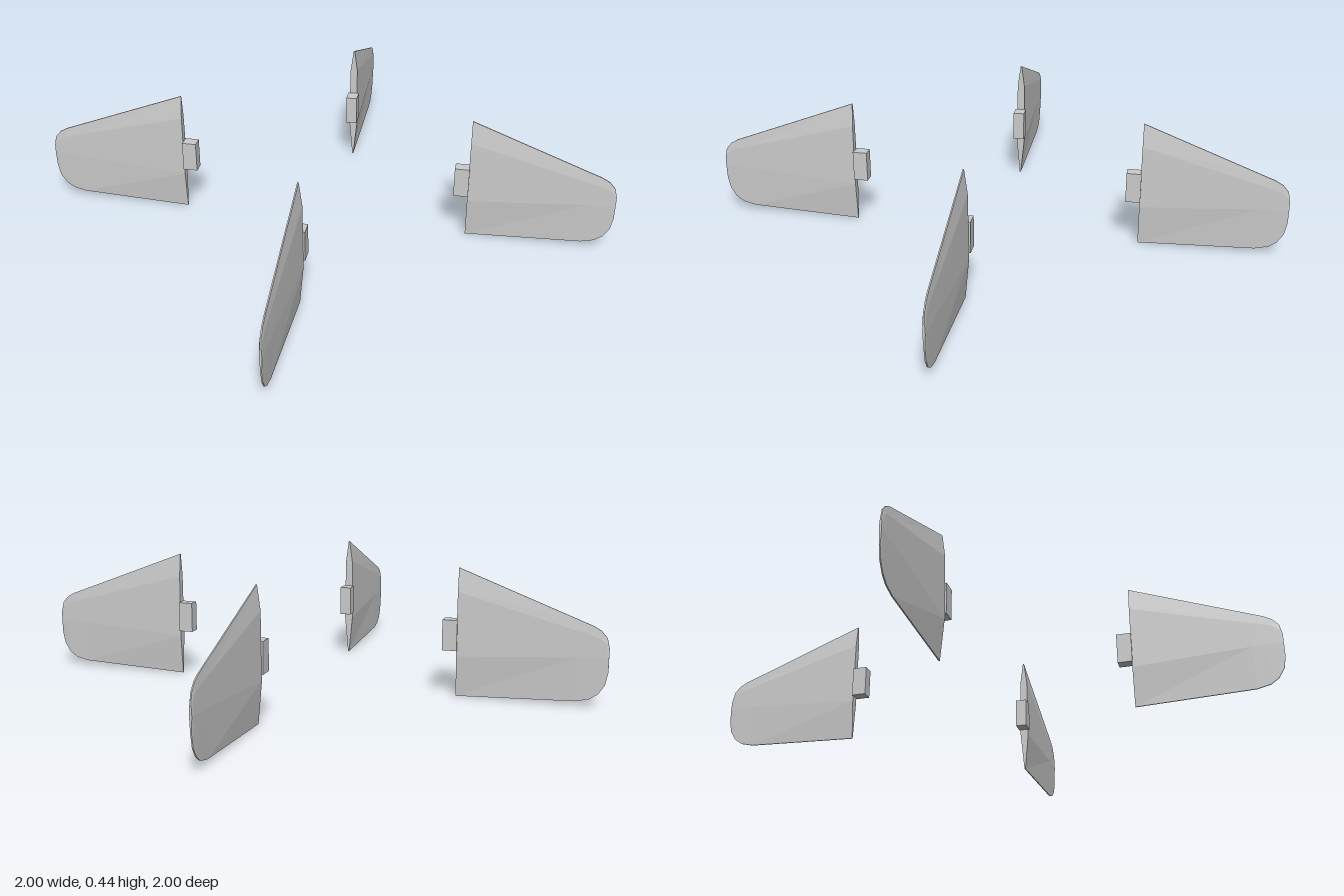
import * as THREE from 'three';

const material = new THREE.MeshStandardMaterial({ color: 0xcccccc, flatShading: true });

// Fin stations from root to rounded tip: [radius, bottom, lower ridge, upper ridge, top, half thickness]
const stations = [
  [0.505, 0.0, 0.14, 0.36, 0.44, 0.015],
  [0.9, 0.016, 0.165, 0.252, 0.289, 0.007],
  [0.945, 0.027, 0.166, 0.24, 0.272, 0.006],
  [0.972, 0.046, 0.167, 0.23, 0.257, 0.0055],
  [0.992, 0.078, 0.168, 0.215, 0.234, 0.005],
  [1.0, 0.12, 0.168, 0.19, 0.2, 0.004],
];

// Loft of thin eight-sided sections, thick between the ridges and sharp at the edges
function finGeometry() {
  const positions = [];
  const index = [];
  for (const [r, bottom, low, high, top, t] of stations) {
    const edge = 0.002;
    const section = [
      [bottom, edge], [low, t], [high, t * 0.85], [top, edge],
      [top, -edge], [high, -t * 0.85], [low, -t], [bottom, -edge],
    ];
    for (const [y, z] of section) positions.push(r, y, z);
  }
  const n = 8;
  const last = (stations.length - 1) * n;
  for (let s = 0; s < last; s += n) {
    for (let i = 0; i < n; i++) {
      const a = s + i, b = s + (i + 1) % n;
      index.push(a, a + n, b + n, a, b + n, b);
    }
  }
  // Root and tip caps
  for (let i = 0; i < 3; i++) {
    const a = i, b = i + 1, c = 6 - i, d = 7 - i;
    index.push(a, b, c, a, c, d);
    index.push(last + a, last + c, last + b, last + a, last + d, last + c);
  }
  const geometry = new THREE.BufferGeometry();
  geometry.setAttribute('position', new THREE.Float32BufferAttribute(positions, 3));
  geometry.setIndex(index);
  geometry.computeVertexNormals();
  return geometry;
}

export function createModel() {
  const model = new THREE.Group();
  model.name = 'finSet';
  const blade = finGeometry();
  const tab = new THREE.BoxGeometry(0.05, 0.105, 0.04);

  // Four fins around the vertical axis; the front and back pair sits slightly to the left
  ['leftFin', 'backFin', 'rightFin', 'frontFin'].forEach((name, i) => {
    const fin = new THREE.Group();
    fin.name = name;
    const bladeMesh = new THREE.Mesh(blade, material);
    bladeMesh.name = 'finBlade';
    const tabMesh = new THREE.Mesh(tab, material);
    tabMesh.name = 'mountingTab';
    tabMesh.position.set(0.482, 0.212, 0);
    fin.add(bladeMesh, tabMesh);
    fin.rotation.y = i * Math.PI / 2;
    fin.position.x = i % 2 ? 0.02 : 0;
    model.add(fin);
  });
  return model;
}
